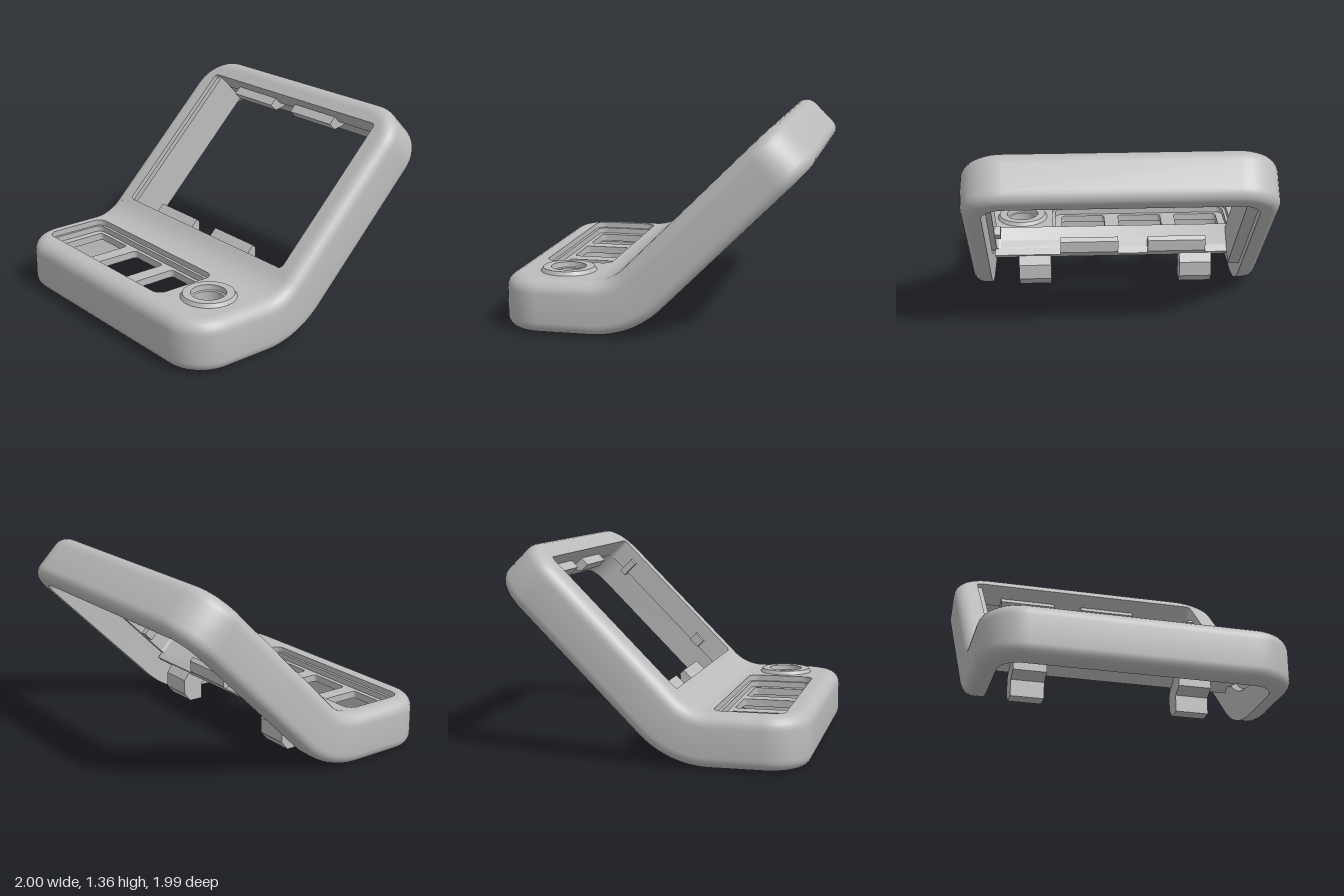
import * as THREE from 'three';
import { toCreasedNormals } from 'three/addons/utils/BufferGeometryUtils.js';

// The case is laid out flat as (x, h, -u): u runs from front to back, h through the
// thickness. bend() then folds it up by 45 degrees about an axis at z = CZ, y = CY.
const CZ = 0.385, CY = 0.642, T = 0.35, RI = CY - T;
const U0 = -0.608, UB = RI * Math.PI / 4, U1 = 1.587;
const WIN = { x: 0.83, u0: 0.274, u1: 1.424 };

function bend(geo) {
  const p = geo.attributes.position;
  for (let i = 0; i < p.count; i++) {
    const h = p.getY(i), u = -p.getZ(i);
    const a = Math.min(Math.max(u, 0), UB) / RI;
    const along = u < 0 ? u : Math.max(u - UB, 0);
    const r = CY - h;
    p.setY(i, CY - r * Math.cos(a) + along * Math.sin(a));
    p.setZ(i, CZ - r * Math.sin(a) - along * Math.cos(a));
  }
  return geo;
}

// Rounded rectangle with separate radii at its front (rf) and back (rb) corners
function rounded(x0, u0, x1, u1, rf, rb = rf, Type = THREE.Shape) {
  const s = new Type();
  const corner = (x, u, r, a) => (r ? s.absarc(x, u, r, a, a + Math.PI / 2) : s.lineTo(x, u));
  s.moveTo(x0 + rf, u0);
  corner(x1 - rf, u0 + rf, rf, -Math.PI / 2);
  corner(x1 - rb, u1 - rb, rb, 0);
  corner(x0 + rb, u1 - rb, rb, Math.PI / 2);
  corner(x0 + rf, u0 + rf, rf, Math.PI);
  s.closePath();
  return s;
}
const roundHole = (x, u, r) => new THREE.Path().absarc(x, u, r, 0, Math.PI * 2);

// Plate with holes between heights h0 and h1
function plate(shape, holes, h0, h1) {
  shape.holes.push(...holes);
  const g = new THREE.ExtrudeGeometry(shape, { depth: h1 - h0, bevelEnabled: false, curveSegments: 14 });
  g.rotateX(-Math.PI / 2).translate(0, h0, 0);
  return bend(g);
}

// Side profile of (z, y) points pushed across from x0 to x1
function across(pts, x0, x1) {
  const s = new THREE.Shape(pts.map(([z, y]) => new THREE.Vector2(z, y)));
  const g = new THREE.ExtrudeGeometry(s, { depth: x1 - x0, bevelEnabled: false });
  return g.rotateY(-Math.PI / 2).translate(x1, 0, 0);
}

// Box given by x, u and depth below the top face
function block(x0, x1, u0, u1, k0, k1) {
  const g = new THREE.BoxGeometry(x1 - x0, k1 - k0, u1 - u0);
  g.translate((x0 + x1) / 2, T - (k0 + k1) / 2, -(u0 + u1) / 2);
  return bend(g);
}

// Outer wall: a closed profile carried round the rounded outline, thicker low down inside
function wallGeometry() {
  const R = 0.27, rBot = 0.075, rTop = 0.09;
  const profile = [[0.1, 0.22], [0.132, 0.2], [0.132, 0]];
  for (let i = 0; i <= 6; i++) {
    const a = i / 6 * Math.PI / 2;
    profile.push([rBot * (1 - Math.sin(a)), rBot * (1 - Math.cos(a))]);
  }
  for (let i = 0; i <= 6; i++) {
    const a = i / 6 * Math.PI / 2;
    profile.push([rTop * (1 - Math.cos(a)), T - rTop * (1 - Math.sin(a))]);
  }
  profile.push([0.1, T]);

  const outline = []; // centre x, centre u, angle
  const arc = (x, u, a0) => {
    for (let i = 0; i <= 12; i++) outline.push([x, u, a0 + i / 12 * Math.PI / 2]);
  };
  const side = (x, a, back) => {
    for (let i = 0; i <= 12; i++) outline.push([x, UB * (back ? 12 - i : i) / 12, a]);
  };
  const cx = 1 - R, uf = U0 + R, ub = U1 - R;
  arc(cx, uf, -Math.PI / 2);
  side(cx, 0, false);
  arc(cx, ub, 0);
  arc(-cx, ub, Math.PI / 2);
  side(-cx, Math.PI, true);
  arc(-cx, uf, Math.PI);

  const pos = [], idx = [], n = profile.length, m = outline.length;
  for (const [x, u, a] of outline)
    for (const [inset, h] of profile)
      pos.push(x + Math.cos(a) * (R - inset), h, -(u + Math.sin(a) * (R - inset)));
  for (let i = 0; i < m; i++)
    for (let j = 0; j < n; j++) {
      const i2 = (i + 1) % m, j2 = (j + 1) % n;
      const a = i * n + j, b = i2 * n + j, c = i2 * n + j2, d = i * n + j2;
      idx.push(a, b, c, a, c, d);
    }
  const g = new THREE.BufferGeometry();
  g.setAttribute('position', new THREE.Float32BufferAttribute(pos, 3));
  g.setIndex(idx);
  return bend(g);
}

export function createModel() {
  const model = new THREE.Group();
  const grey = new THREE.MeshStandardMaterial({ color: 0xbcbcbc });
  grey.name = 'grey plastic';
  const add = (name, geo) => {
    const mesh = new THREE.Mesh(toCreasedNormals(geo, 0.5), grey);
    mesh.name = name;
    model.add(mesh);
  };

  add('outerWall', wallGeometry());

  // Front panel: two stepped layers round the key recess, then its floor
  const front = () => rounded(-0.9, U0 + 0.1, 0.9, 0, 0.17, 0);
  const knob = [0.663, CZ - 0.608];
  const recess = (g) => rounded(-0.877 + g, CZ - 0.84 + g, 0.44 - g, -0.002 - g, 0.07 - g, 0.07 - g, THREE.Path);
  add('frontPanel', plate(front(), [recess(0), roundHole(...knob, 0.15)], 0.31, T));
  add('frontPanelStep', plate(front(), [recess(0.02), roundHole(...knob, 0.15)], 0.27, 0.31));
  const keyHoles = [-0.804, -0.378, 0.05].map((x) =>
    rounded(x, CZ - 0.788, x + 0.32, CZ - 0.433, 0.025, 0.025, THREE.Path));
  add('keyFloor', plate(rounded(-0.9, U0 + 0.1, 0.46, 0, 0.17, 0), keyHoles, 0.22, 0.27));

  // Raised collar round the knob hole
  const collar = [[0.1, 0.27], [0.17, 0.27], [0.183, T], [0.168, 0.375], [0.115, 0.375], [0.112, 0.34], [0.1, 0.335], [0.1, 0.27]];
  add('knobCollar', new THREE.LatheGeometry(collar.map(([r, y]) => new THREE.Vector2(r, y)), 48)
    .translate(0.663, 0, 0.608));

  // Curved skin between the front panel and the screen frame
  const skin = new THREE.BoxGeometry(1.8, 0.09, UB, 1, 1, 14);
  add('bendSkin', bend(skin.translate(0, T - 0.045, -UB / 2)));

  // Screen frame with its sill and side rail
  const windowHole = rounded(-WIN.x, WIN.u0, WIN.x, WIN.u1, 0.03, 0.03, THREE.Path);
  add('screenFrame', plate(rounded(-0.9, UB, 0.9, U1 - 0.1, 0, 0.17), [windowHole], T - 0.16, T));
  add('screenSill', block(-0.84, 0.84, UB, WIN.u0, 0.1, 0.21));
  add('screenSideRail', block(-0.88, -0.79, WIN.u0, WIN.u1, 0.03, 0.3));

  // Snap tabs above and below the screen: (depth, reach into the window)
  const upper = [[0.1, -0.02], [0.1, 0.063], [0.165, 0.063], [0.21, 0], [0.21, -0.02]];
  const lower = [[0.12, -0.02], [0.12, 0.09], [0.155, 0.09], [0.21, 0.03], [0.21, -0.02]];
  for (const x of [-0.635, -0.022]) {
    add('upperTab', bend(across(upper.map(([k, e]) => [-(WIN.u1 - e), T - k]), x, x + 0.405)));
    add('lowerTab', bend(across(lower.map(([k, e]) => [-(WIN.u0 + e), T - k]), x, x + 0.405)));
  }

  // Small stops on the right-hand inner wall
  add('sideStop', block(0.79, 0.88, WIN.u0 + 0.18, WIN.u0 + 0.26, 0.09, 0.155));
  add('sideStop', block(0.79, 0.88, WIN.u1 - 0.187, WIN.u1 - 0.14, 0.06, 0.18));

  // Screw bosses under the bend
  const boss = [[0.12, 0.085], [0.02, 0.085], [-0.03, 0.145], [-0.03, 0.25], [0.05, 0.36], [0.2, 0.36], [0.2, 0.24], [0.12, 0.2]];
  for (const x of [-0.68, 0.45]) add('screwBoss', across(boss, x, x + 0.225));

  return model;
}
